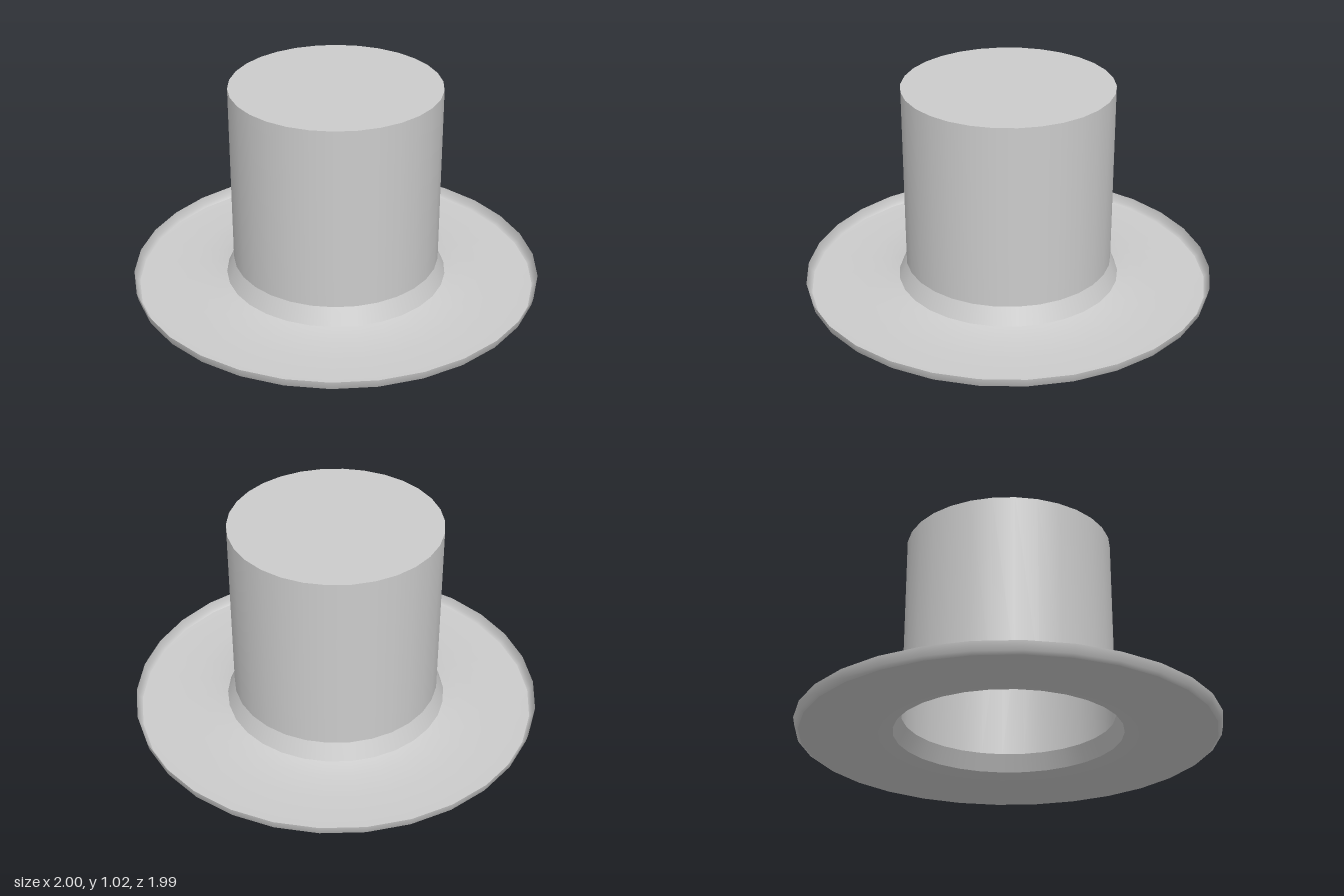
import * as THREE from 'three';

const SEGMENTS = 30;

export function createModel() {
  const hat = new THREE.Group();
  hat.name = 'topHat';
  const material = new THREE.MeshStandardMaterial({ color: 0xcccccc, side: THREE.DoubleSide });

  // Thin shell turned from [radius, height] pairs, with a vertex on the x axis
  const turn = (name, profile) => {
    const points = profile.map(([r, y]) => new THREE.Vector2(r, y));
    const geometry = new THREE.LatheGeometry(points, SEGMENTS, Math.PI / 2);
    const mesh = new THREE.Mesh(geometry, material);
    mesh.name = name;
    hat.add(mesh);
  };

  // Dished brim: rises to the collar, flat in the middle
  turn('brim', [[0.543, 0.035], [0.62, 0.012], [0.75, 0.002], [0.9, 0], [0.975, 0.003]]);

  // Upturned edge of the brim
  turn('brimEdge', [[0.975, 0.003], [0.992, 0.015], [1, 0.055]]);

  // Flared collar joining brim and crown
  turn('collar', [[0.543, 0.035], [0.506, 0.12]]);

  // Straight crown wall, open underneath
  turn('crownWall', [[0.506, 0.12], [0.506, 1.02]]);

  // Flat lid of the crown
  const lid = new THREE.Mesh(new THREE.CircleGeometry(0.506, SEGMENTS), material);
  lid.name = 'crownTop';
  lid.rotation.x = -Math.PI / 2;
  lid.position.y = 1.02;
  hat.add(lid);

  return hat;
}
